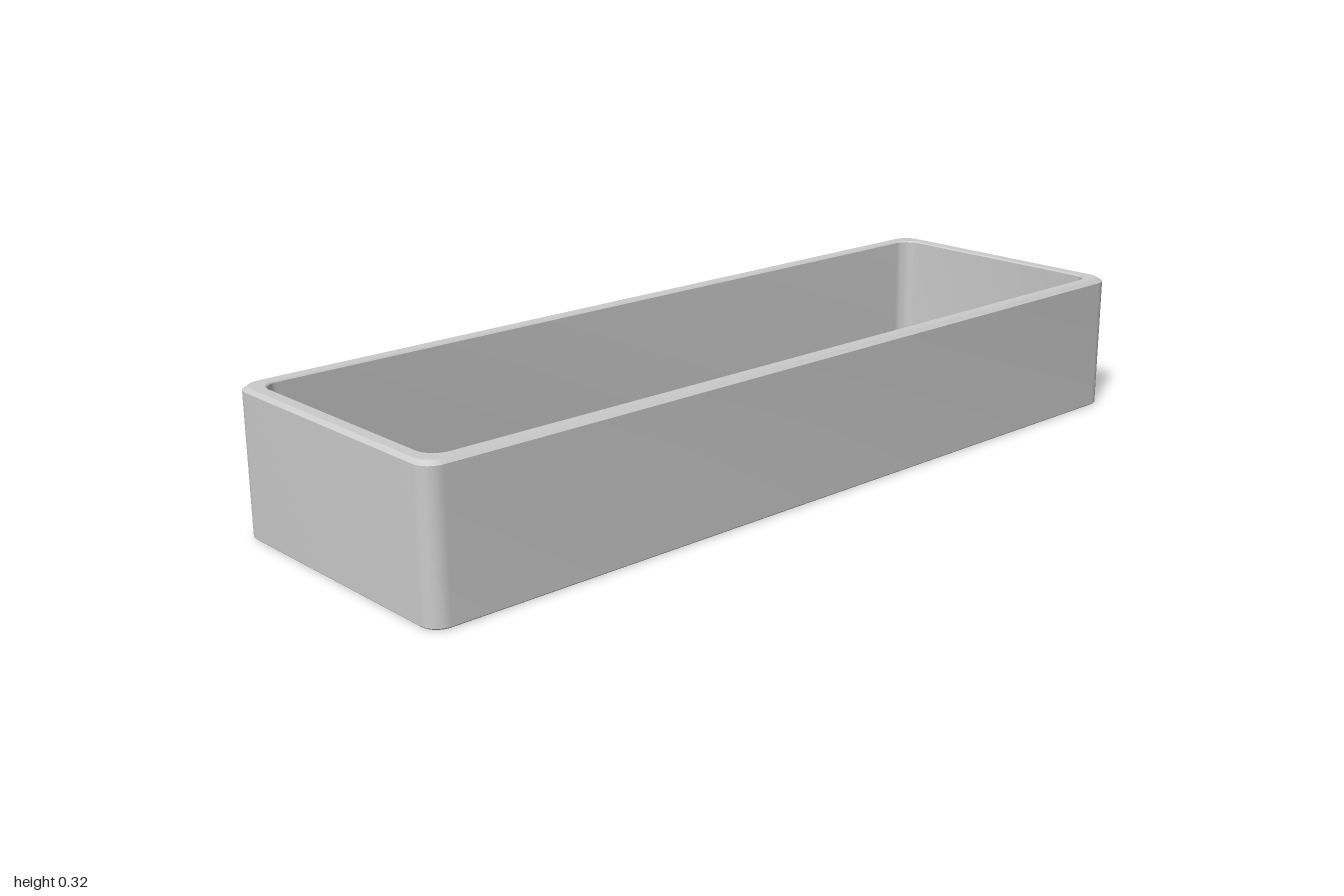
import * as THREE from 'three';
import { toCreasedNormals } from 'three/addons/utils/BufferGeometryUtils.js';

const HALF_X = 1, HALF_Z = 0.327, HEIGHT = 0.317;
const WALL = 0.035, FLOOR = 0.034;
const CORNER_STEPS = 8;

// Rounded rectangle loop in the xz plane at height y
function roundedLoop(hx, hz, r, y) {
  const points = [];
  [[1, 1], [-1, 1], [-1, -1], [1, -1]].forEach(([sx, sz], q) => {
    for (let k = 0; k <= CORNER_STEPS; k++) {
      const a = (q + k / CORNER_STEPS) * Math.PI / 2;
      points.push([sx * (hx - r) + r * Math.cos(a), y, sz * (hz - r) + r * Math.sin(a)]);
    }
  });
  return points;
}

// Skin a stack of loops, closed at both ends by a fan to the centre
function loft(loops) {
  const n = loops[0].length;
  const centre = (loop) => loop.map(() => [0, loop[0][1], 0]);
  const rows = [centre(loops[0]), ...loops, centre(loops[loops.length - 1])];
  const pos = [];
  for (let i = 0; i < rows.length - 1; i++) {
    for (let j = 0; j < n; j++) {
      const k = (j + 1) % n;
      const a = rows[i][j], b = rows[i][k], c = rows[i + 1][k], d = rows[i + 1][j];
      if (i < rows.length - 2) pos.push(...a, ...d, ...c);
      if (i > 0) pos.push(...a, ...c, ...b);
    }
  }
  const geometry = new THREE.BufferGeometry();
  geometry.setAttribute('position', new THREE.Float32BufferAttribute(pos, 3));
  return toCreasedNormals(geometry, 0.5);
}

export function createModel() {
  const group = new THREE.Group();
  group.name = 'tray';
  const material = new THREE.MeshStandardMaterial({ color: 0xcccccc });

  // Tray shell: [inset from the outside, height, corner radius]
  const profile = [
    [0.003, 0, 0.037],
    [0, 0.003, 0.04],
    [0, HEIGHT - 0.008, 0.04],
    [0.008, HEIGHT, 0.04],
    [WALL - 0.003, HEIGHT, 0.043],
    [WALL, HEIGHT - 0.003, 0.04],
    [WALL, FLOOR, 0.04],
  ];
  const shell = new THREE.Mesh(
    loft(profile.map(([inset, y, r]) => roundedLoop(HALF_X - inset, HALF_Z - inset, r, y))),
    material
  );
  shell.name = 'trayShell';
  group.add(shell);

  // Low ribs across the floor
  const ribs = new THREE.Group();
  ribs.name = 'floorRibs';
  const ribGeometry = new THREE.BoxGeometry(0.02, 0.02, 2 * (HALF_Z - WALL) + 0.01);
  for (let i = -4; i <= 4; i++) {
    const rib = new THREE.Mesh(ribGeometry, material);
    rib.name = 'floorRib';
    rib.position.set(i * 0.191, FLOOR, 0);
    ribs.add(rib);
  }
  group.add(ribs);
  return group;
}
